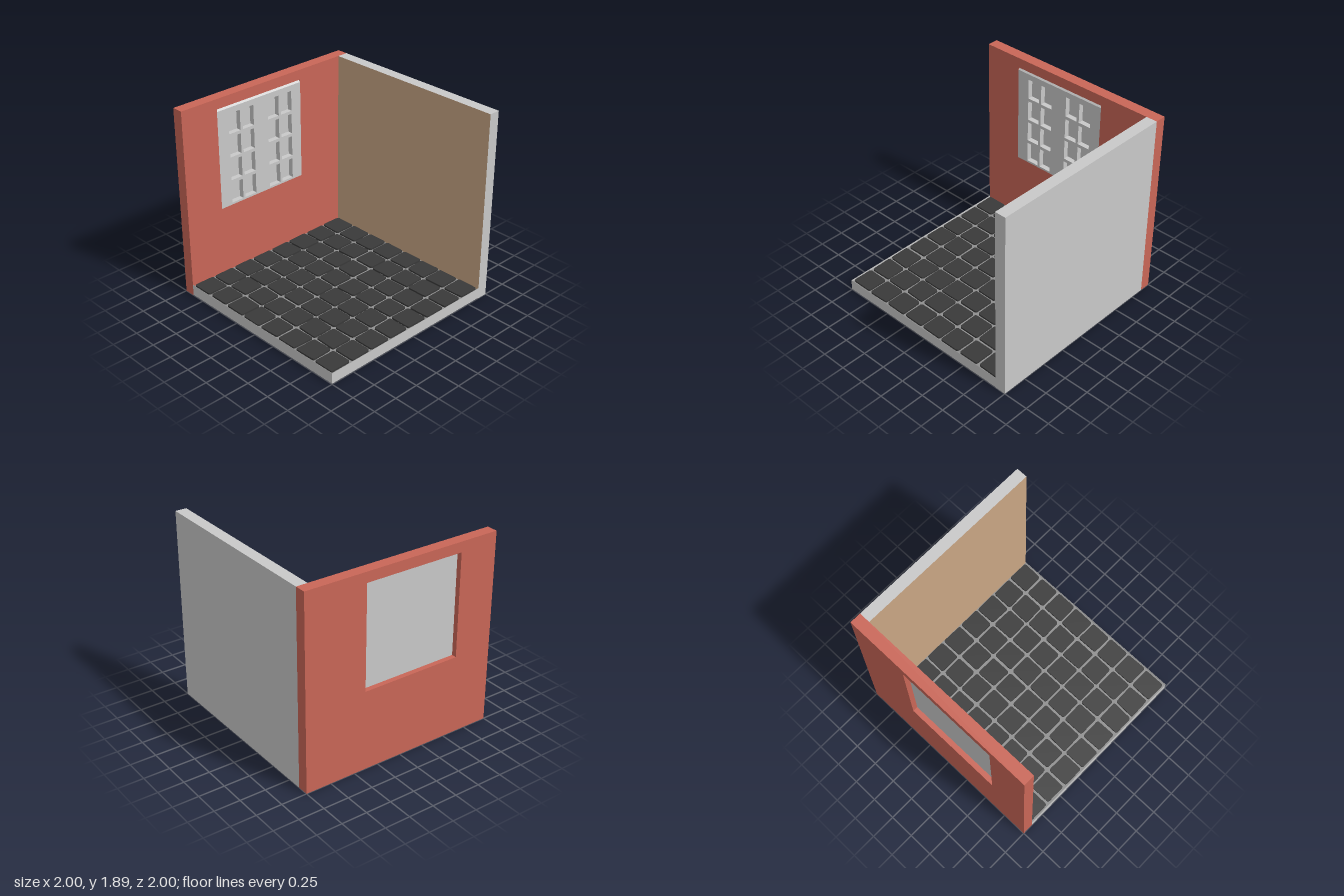
import * as THREE from 'three';

const mat = (name, color) => {
  const m = new THREE.MeshStandardMaterial({ color });
  m.name = name;
  return m;
};

export function createModel() {
  const room = new THREE.Group();
  room.name = 'roomCorner';
  const red = mat('brickRed', 0xc96657);
  const grey = mat('lightGrey', 0xc9c9c9);
  const tan = mat('tanPlaster', 0xc9a684);
  const grout = mat('groutGrey', 0x8e8e8e);
  const dark = mat('tileCharcoal', 0x393939);

  const add = (name, geometry, material, parent = room) => {
    const mesh = new THREE.Mesh(geometry, material);
    mesh.name = name;
    parent.add(mesh);
    return mesh;
  };
  // Box given by its lower and upper corners
  const box = (name, [x0, y0, z0], [x1, y1, z1], material, parent) => {
    const g = new THREE.BoxGeometry(x1 - x0, y1 - y0, z1 - z0);
    g.translate((x0 + x1) / 2, (y0 + y1) / 2, (z0 + z1) / 2);
    return add(name, g, material, parent);
  };
  // Rectangle in the (z, y) plane, as points with u = -z
  const rect = (z0, z1, y0, y1) => [[-z1, y0], [-z0, y0], [-z0, y1], [-z1, y1]]
    .map(([u, y]) => new THREE.Vector2(u, y));
  // Slab facing +x from x0 to x1, with rectangular holes
  const slabX = (outer, holes, x0, x1) => {
    const shape = new THREE.Shape(outer);
    holes.forEach((h) => shape.holes.push(new THREE.Path(h)));
    const g = new THREE.ExtrudeGeometry(shape, { depth: x1 - x0, bevelEnabled: false });
    return g.rotateY(Math.PI / 2).translate(x0, 0, 0);
  };

  // Walls
  const TOP = 1.89, IN = -0.89, FLOOR = 0.113, BED = 0.096;
  add('sideWall', slabX(rect(-1, 1, 0, TOP), [rect(-0.39, 0.61, 0.78, 1.79)], -1, IN), red);
  box('backWall', [IN, 0, -1], [1, TOP, IN], [grey, grey, grey, grey, tan, grey]);

  // Window: frame with recessed panes, solid back, sloped top edge
  const win = new THREE.Group();
  win.name = 'window';
  room.add(win);
  const panes = [];
  for (const z of [-0.275, -0.115, 0.19, 0.35]) {
    for (let r = 0; r < 4; r++) panes.push(rect(z, z + 0.133, 0.8 + r * 0.235, 1.003 + r * 0.235));
  }
  add('windowFrame', slabX(rect(-0.39, 0.61, 0.78, 1.765), panes, -0.942, IN), grey, win);
  box('windowBack', [-0.95, 0.78, -0.39], [-0.942, 1.765, 0.61], grey, win);
  const edge = new THREE.Shape([[-0.95, 1.765], [IN, 1.765], [-0.912, 1.79], [-0.95, 1.79]]
    .map(([x, y]) => new THREE.Vector2(x, y)));
  add('windowTopEdge', new THREE.ExtrudeGeometry(edge, { depth: 1, bevelEnabled: false })
    .translate(0, 0, -0.39), grey, win);

  // Floor slab with a thin rim on the open sides and a sunken grout bed
  box('floorSlab', [IN, 0.005, IN], [1, BED, 1], [grey, grey, grout, grey, grey, grey]);
  box('floorFrontRim', [IN, BED, 0.996], [1, FLOOR, 1], [grey, grey, grout, grey, grey, grey]);
  box('floorRightRim', [0.996, BED, IN], [1, FLOOR, 0.996], [grey, grey, grout, grey, grey, grey]);

  // Uneven stone tiles with rounded corners
  let seed = 7;
  const jitter = (a) => {
    seed = (seed * 16807) % 2147483647;
    return (seed / 2147483647 - 0.5) * 2 * a;
  };
  const tiles = new THREE.Group();
  tiles.name = 'floorTiles';
  room.add(tiles);
  for (let i = 0; i < 8; i++) {
    for (let j = 0; j < 8; j++) {
      const h = 0.106;
      const c = [[-1, -1], [1, -1], [1, 1], [-1, 1]]
        .map(([a, b]) => new THREE.Vector2(a * h + jitter(0.005), b * h + jitter(0.005)));
      const s = new THREE.Shape();
      c.forEach((p, k) => {
        const a = p.clone().lerp(c[(k + 3) % 4], 0.1);
        const b = p.clone().lerp(c[(k + 1) % 4], 0.1);
        if (k) s.lineTo(a.x, a.y); else s.moveTo(a.x, a.y);
        s.quadraticCurveTo(p.x, p.y, b.x, b.y);
      });
      s.closePath();
      const g = new THREE.ExtrudeGeometry(s, { depth: FLOOR - BED, bevelEnabled: false, curveSegments: 3 });
      g.rotateX(-Math.PI / 2).translate(-0.774 + i * 0.2355, BED, -0.774 + j * 0.2355);
      add('floorTile', g, dark, tiles);
    }
  }
  return room;
}
